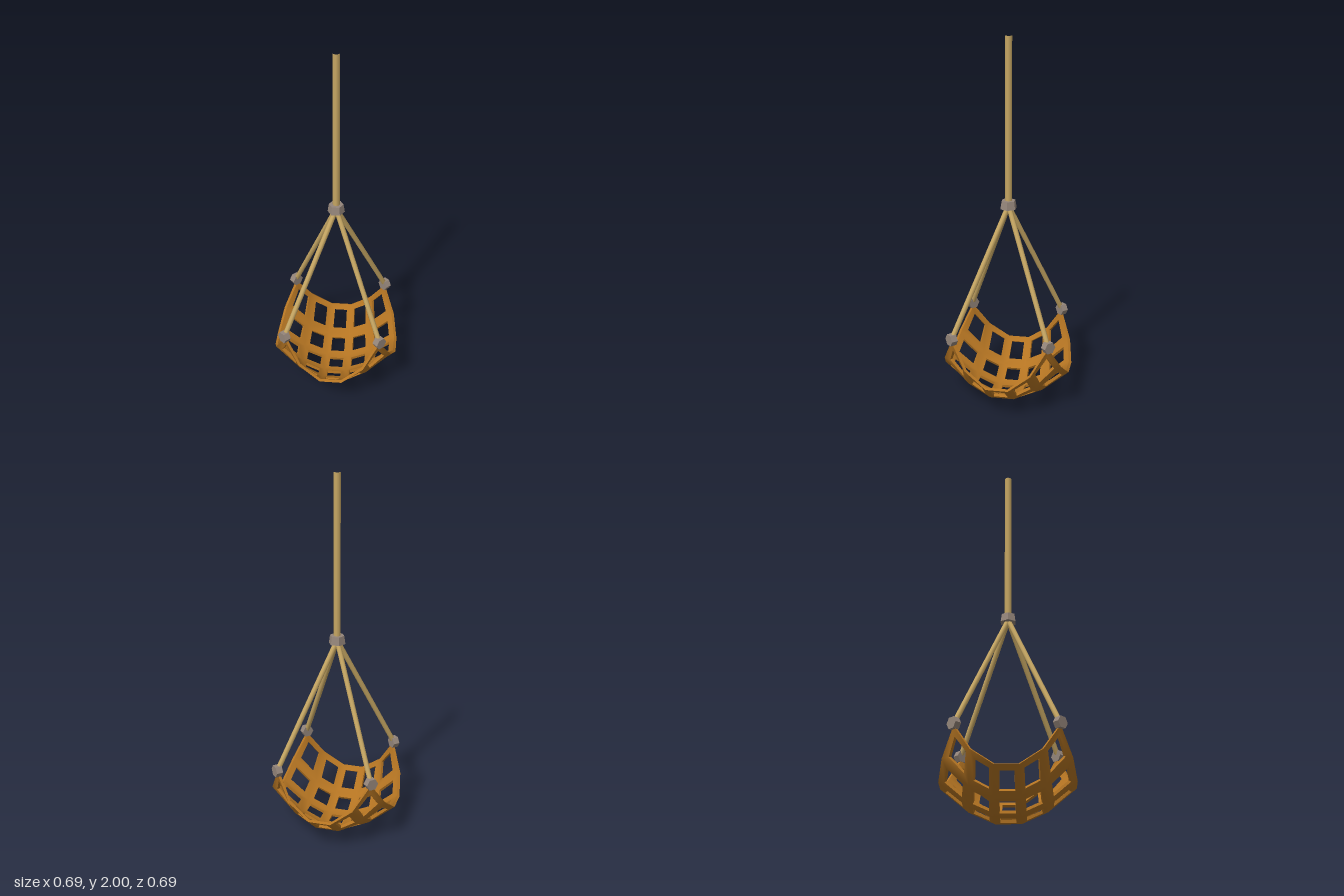
import * as THREE from 'three';
import { toCreasedNormals } from 'three/addons/utils/BufferGeometryUtils.js';

const wood = new THREE.MeshStandardMaterial({ color: 0xb47422 });
wood.name = 'basketBrown';
const ropeTan = new THREE.MeshStandardMaterial({ color: 0xc8a864 });
ropeTan.name = 'ropeTan';
const metal = new THREE.MeshStandardMaterial({ color: 0x94857a });
metal.name = 'fittingGrey';

// Basket lattice: x and y of one quadrant, by level from the middle outwards
const GRID_X = [[0.066, 0.065, 0.06], [0.2, 0.187, 0.177], [0.346, 0.322, 0.262]];
const GRID_Y = [[0, 0.06, 0.18], [0.06, 0.125, 0.265], [0.18, 0.265, 0.405]];
const CELLS = 5, INSET = 0.195, THICKNESS = 0.016;
const BOWL_CENTRE = new THREE.Vector3(0, 0.37, 0);

const level = (i) => (i < 3 ? 2 - i : i - 3);
const side = (i) => (i < 3 ? -1 : 1);

function latticePoint(i, j) {
  const a = level(i), b = level(j);
  return new THREE.Vector3(side(i) * GRID_X[a][b], GRID_Y[a][b], side(j) * GRID_X[b][a]);
}

function inward(p) {
  return p.clone().addScaledVector(BOWL_CENTRE.clone().sub(p).normalize(), THICKNESS);
}

// A 5 x 5 grid of square holes bent into a bowl, with thickness
function basketGeometry() {
  const pos = [];
  const quad = (a, b, c, d) => [a, b, c, a, c, d].forEach((p) => pos.push(p.x, p.y, p.z));

  for (let i = 0; i < CELLS; i++) {
    for (let j = 0; j < CELLS; j++) {
      const outer = [latticePoint(i, j), latticePoint(i + 1, j), latticePoint(i + 1, j + 1), latticePoint(i, j + 1)];
      const inner = outer.map(inward);
      const cornerOf = (c, u, v) =>
        c[0].clone().lerp(c[1], u).lerp(c[3].clone().lerp(c[2], u), v);
      const hole = (c) => [
        cornerOf(c, INSET, INSET), cornerOf(c, 1 - INSET, INSET),
        cornerOf(c, 1 - INSET, 1 - INSET), cornerOf(c, INSET, 1 - INSET),
      ];
      const outerHole = hole(outer), innerHole = hole(inner);
      const onRim = [j === 0, i === CELLS - 1, j === CELLS - 1, i === 0];

      for (let k = 0; k < 4; k++) {
        const n = (k + 1) % 4;
        quad(outer[k], outer[n], outerHole[n], outerHole[k]);
        quad(inner[n], inner[k], innerHole[k], innerHole[n]);
        quad(outerHole[k], outerHole[n], innerHole[n], innerHole[k]);
        if (onRim[k]) quad(outer[n], outer[k], inner[k], inner[n]);
      }
    }
  }
  const geo = new THREE.BufferGeometry();
  geo.setAttribute('position', new THREE.Float32BufferAttribute(pos, 3));
  return toCreasedNormals(geo, 0.9);
}

// Open-ended rope between two points
function rope(name, from, to, radius) {
  const dir = to.clone().sub(from);
  const mesh = new THREE.Mesh(new THREE.CylinderGeometry(radius, radius, dir.length(), 8, 1, true), ropeTan);
  mesh.position.copy(from).addScaledVector(dir, 0.5);
  mesh.quaternion.setFromUnitVectors(new THREE.Vector3(0, 1, 0), dir.normalize());
  mesh.name = name;
  return mesh;
}

// Six-sided fitting with flat faces and corners on the x axis
function hexFitting(name, top, bottom, height) {
  const geo = toCreasedNormals(new THREE.CylinderGeometry(top, bottom, height, 6).rotateY(Math.PI / 6), 0.5);
  const mesh = new THREE.Mesh(geo, metal);
  mesh.name = name;
  return mesh;
}

export function createModel() {
  const model = new THREE.Group();
  model.name = 'hangingBasket';

  const basket = new THREE.Mesh(basketGeometry(), wood);
  basket.name = 'basket';
  model.add(basket);

  // Main rope and the collar where the four slings meet
  model.add(rope('mainRope', new THREE.Vector3(0, 1.1, 0), new THREE.Vector3(0, 2, 0), 0.019));
  const collar = hexFitting('collar', 0.039, 0.046, 0.045);
  collar.position.y = 1.107;
  model.add(collar);

  // One sling rope and one corner fitting per basket corner
  for (const sx of [-1, 1]) {
    for (const sz of [-1, 1]) {
      const corner = new THREE.Vector3(sx * 0.26, 0.416, sz * 0.26);
      model.add(rope('slingRope', corner, new THREE.Vector3(0, 1.1, 0), 0.014));

      const fitting = hexFitting('cornerFitting', 0.034, 0.034, 0.036);
      fitting.geometry.rotateX(Math.PI / 2);
      fitting.rotation.y = Math.atan2(sx, sz);
      fitting.position.copy(corner);
      model.add(fitting);
    }
  }
  return model;
}
